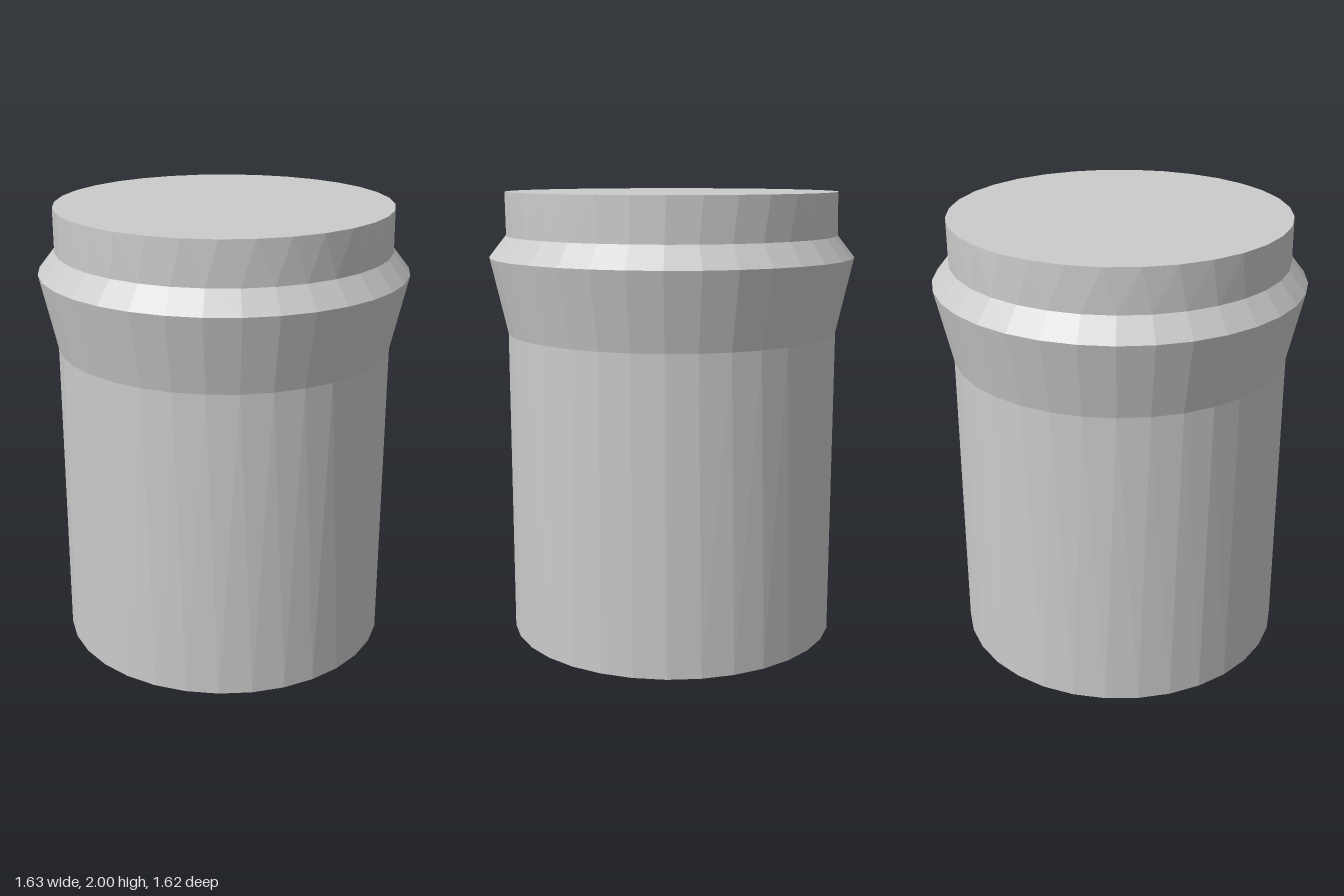
import * as THREE from 'three';

const material = new THREE.MeshStandardMaterial({ color: 0xcccccc, flatShading: true });

// Point k of a ring { r, y, n }, starting on +x
function ringPoint(ring, k) {
  const a = (k / ring.n) * Math.PI * 2;
  return [Math.cos(a) * ring.r, ring.y, -Math.sin(a) * ring.r];
}

// Wall between two rings that may have different numbers of sides
function wall(name, low, high) {
  const points = [];
  let i = 0, j = 0;
  while (i < low.n || j < high.n) {
    const a = ringPoint(low, i), b = ringPoint(high, j);
    if (j >= high.n || (i < low.n && (i + 1) / low.n <= (j + 1) / high.n)) {
      points.push(...a, ...ringPoint(low, ++i), ...b);
    } else {
      points.push(...a, ...ringPoint(high, ++j), ...b);
    }
  }
  const geometry = new THREE.BufferGeometry();
  geometry.setAttribute('position', new THREE.Float32BufferAttribute(points, 3));
  geometry.computeVertexNormals();
  const mesh = new THREE.Mesh(geometry, material);
  mesh.name = name;
  return mesh;
}

// Flat disc closing an end
function cap(name, ring, up) {
  const geometry = new THREE.CircleGeometry(ring.r, ring.n);
  geometry.rotateX(up ? -Math.PI / 2 : Math.PI / 2);
  const mesh = new THREE.Mesh(geometry, material);
  mesh.position.y = ring.y;
  mesh.name = name;
  return mesh;
}

export function createModel() {
  const group = new THREE.Group();
  group.name = 'collaredCylinder';

  const base = { r: 0.74, y: 0, n: 32 };
  const collarFoot = { r: 0.74, y: 1.38, n: 34 };
  const collarRim = { r: 0.815, y: 1.715, n: 34 };
  const collarTop = { r: 0.74, y: 1.81, n: 34 };
  const top = { r: 0.74, y: 2, n: 32 };

  group.add(
    cap('bottomCap', base, false),
    wall('body', base, collarFoot),
    wall('collarFlare', collarFoot, collarRim),
    wall('collarBevel', collarRim, collarTop),
    wall('neck', collarTop, top),
    cap('topCap', top, true)
  );
  return group;
}
